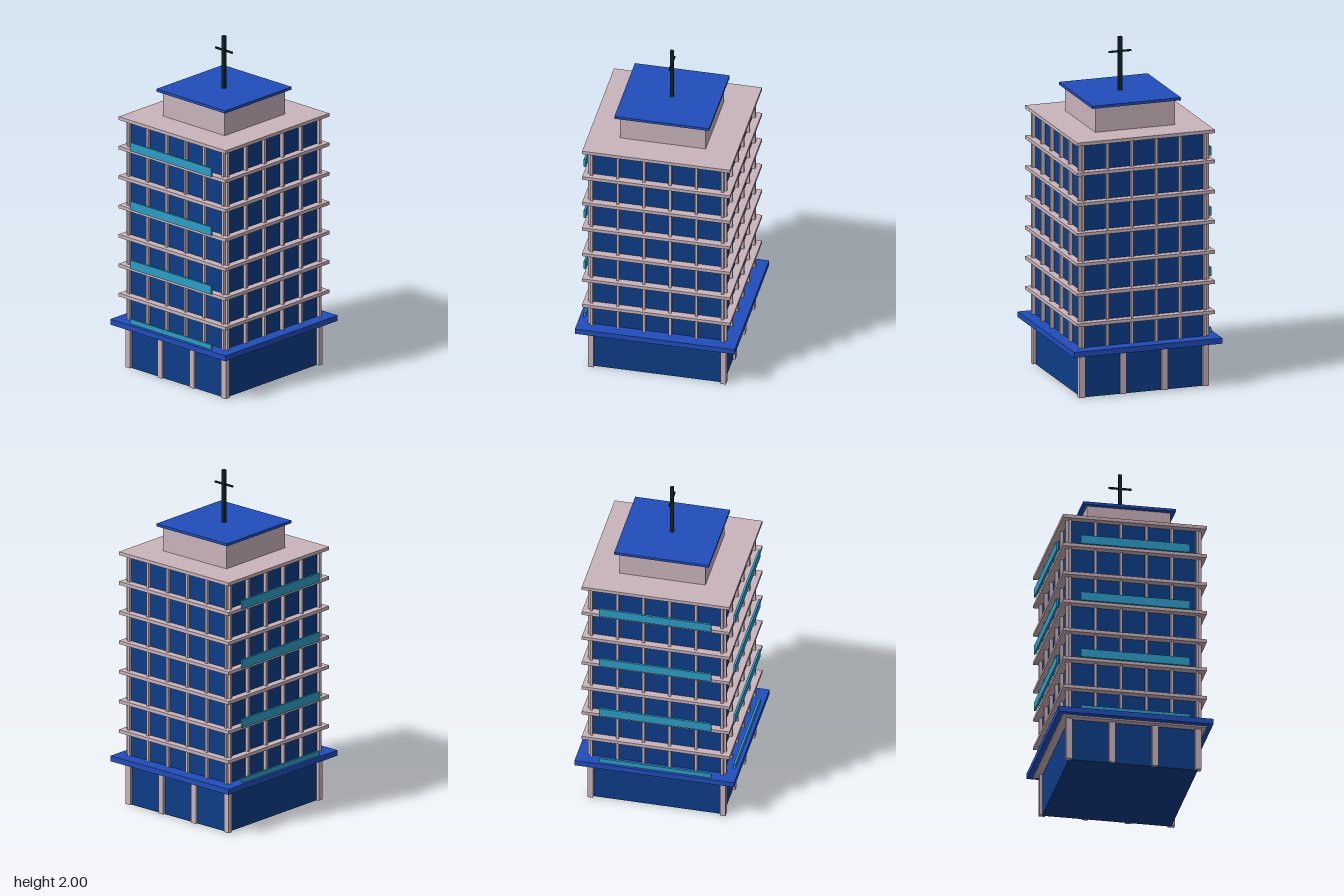
import * as THREE from 'three';

export function createModel() {
  const model = new THREE.Group();
  model.name = 'officeTower';

  const mat = (name, color) => {
    const m = new THREE.MeshStandardMaterial({ color });
    m.name = name;
    return m;
  };
  const glass = mat('navy glass', 0x0d3c86);
  const stone = mat('pale pink stone', 0xc9b3bb);
  const blue = mat('bright blue', 0x204dbb);
  const cyan = mat('cyan panel', 0x2d9dc6);
  const metal = mat('dark metal', 0x10262a);

  // Box spanning y0..y1, centred on x, z
  const box = (name, material, w, d, y0, y1, x = 0, z = 0) => {
    const mesh = new THREE.Mesh(new THREE.BoxGeometry(w, y1 - y0, d), material);
    mesh.position.set(x, (y0 + y1) / 2, z);
    mesh.name = name;
    model.add(mesh);
  };

  const floorStep = 0.1783, firstSlab = 0.262, floors = 7;
  const slabY = (i) => firstSlab + i * floorStep;
  const topSlab = slabY(floors);

  // Glazed core
  box('glassCore', glass, 0.75, 0.775, 0, topSlab);

  // Ground floor columns, front and back
  for (const x of [-0.375, -0.125, 0.125, 0.375])
    for (const s of [-1, 1])
      box('groundColumn', stone, 0.036, 0.031, 0.001, 0.252, x, s * 0.387);

  // Floor slabs
  for (let i = 0; i <= floors; i++)
    box('floorSlab', stone, 0.836, 0.864, slabY(i) - 0.01, slabY(i) + 0.01);

  // Entrance canopy
  box('canopy', blue, 0.9, 0.934, 0.261, 0.294);

  // Window mullions on all four sides
  for (let i = 0; i < 6; i++) {
    const k = i - 2.5;
    for (const s of [-1, 1]) {
      box('mullion', stone, 0.015, 0.022, 0.28, topSlab, k * 0.148, s * 0.394);
      box('mullion', stone, 0.022, 0.015, 0.28, topSlab, s * 0.385, k * 0.153);
    }
  }

  // Balcony panels on the front and right side, every second floor
  for (let i = 0; i < floors; i += 2) {
    const y0 = slabY(i) + 0.008, y1 = y0 + 0.052;
    box('frontBalconyPanel', cyan, 0.634, 0.012, y0, y1, 0, 0.439);
    box('sideBalconyPanel', cyan, 0.012, 0.656, y0, y1, -0.429, 0);
  }

  // Rooftop house, its roof and the mast
  box('penthouse', stone, 0.484, 0.502, topSlab, 1.67);
  box('penthouseRoof', blue, 0.538, 0.554, 1.668, 1.684);
  box('mast', metal, 0.02, 0.02, 1.684, 2);
  box('mastCrossbar', metal, 0.134, 0.01, 1.908, 1.918);

  return model;
}
